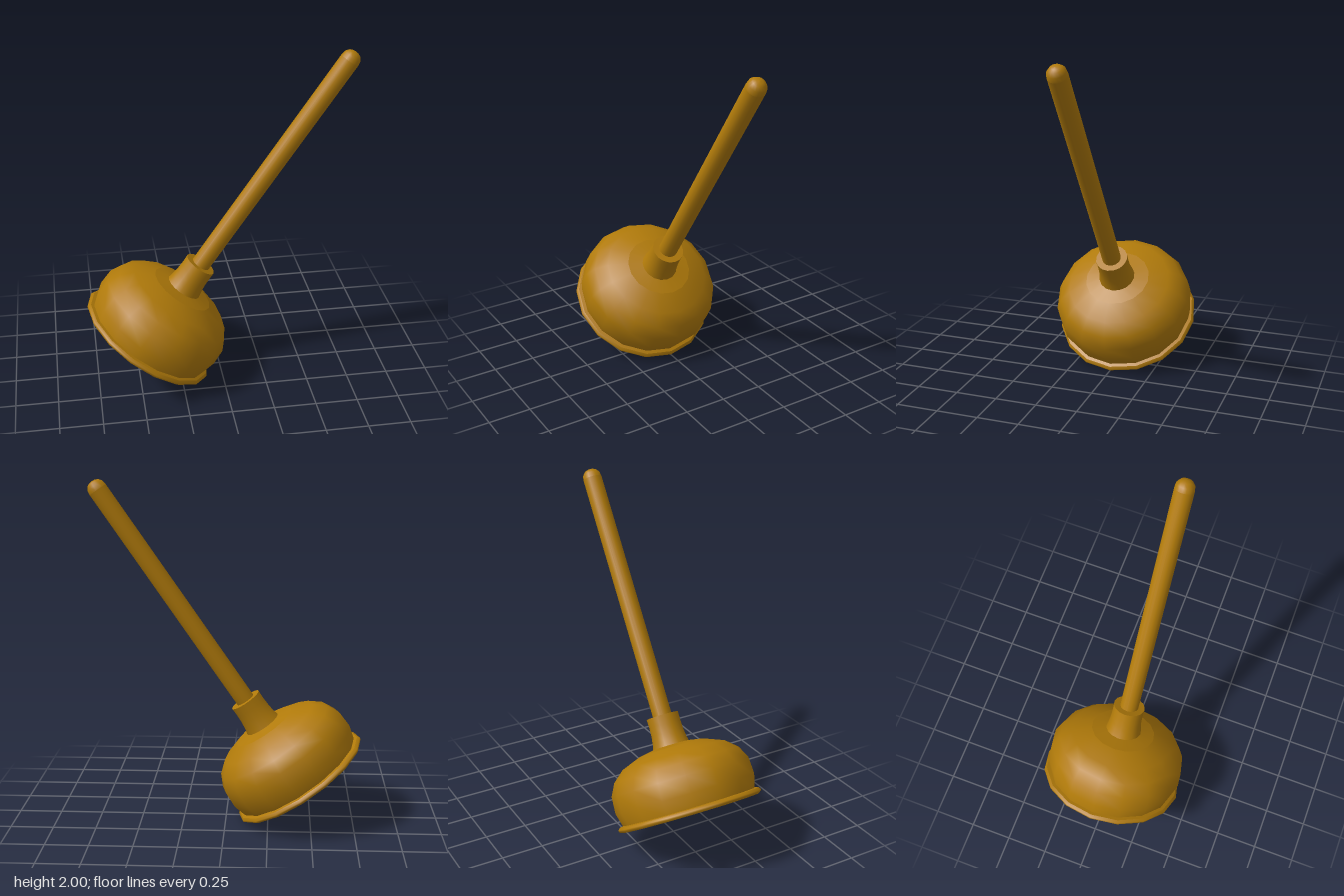
import * as THREE from 'three';

const TILT = THREE.MathUtils.degToRad(34.5);
const material = new THREE.MeshStandardMaterial({ color: 0xb07a0a });

// Revolves each run of [radius, height] points on its own, so the joins stay sharp.
function turned(name, sides, runs) {
  const part = new THREE.Group();
  part.name = name;
  runs.forEach((run, i) => {
    const points = run.map(([r, h]) => new THREE.Vector2(r, h));
    const mesh = new THREE.Mesh(new THREE.LatheGeometry(points, sides), material);
    mesh.name = `${name}Surface${i + 1}`;
    part.add(mesh);
  });
  return part;
}

export function createModel() {
  const model = new THREE.Group();
  model.name = 'plunger';

  // Everything is turned around one axis, then leaned over to the side
  const body = new THREE.Group();
  body.name = 'tiltedBody';
  body.rotation.z = -TILT;
  body.position.set(-0.435, 0.255, 0);
  model.add(body);

  // Rubber cup: outer dome, flatter crown, hollow inside
  body.add(turned('cup', 16, [
    [[0.398, 0.02], [0.42, 0.1], [0.415, 0.2], [0.378, 0.273], [0.31, 0.332], [0.195, 0.376]],
    [[0.195, 0.376], [0.1, 0.393]],
    [[0, 0.35], [0.19, 0.34], [0.29, 0.305], [0.35, 0.255], [0.385, 0.19], [0.39, 0.1], [0.37, 0.02]],
  ]));

  // Flared lip around the mouth of the cup
  body.add(turned('rim', 16, [
    [[0.37, 0.02], [0.372, -0.002], [0.385, -0.008]],
    [[0.385, -0.008], [0.418, -0.014]],
    [[0.418, -0.014], [0.43, -0.004], [0.43, 0.006], [0.418, 0.018]],
    [[0.418, 0.018], [0.398, 0.022]],
  ]));

  // Waisted collar that grips the handle
  body.add(turned('collar', 16, [
    [[0.11, 0.385], [0.102, 0.42], [0.096, 0.468], [0.094, 0.52], [0.095, 0.571]],
    [[0.095, 0.571], [0.05, 0.571]],
  ]));

  // Long stick with a rounded end
  body.add(turned('handle', 16, [
    [[0.056, 0.38], [0.056, 2.05]],
    [[0.056, 2.05], [0.052, 2.078], [0.036, 2.098], [0.018, 2.106], [0, 2.108]],
  ]));

  return model;
}
